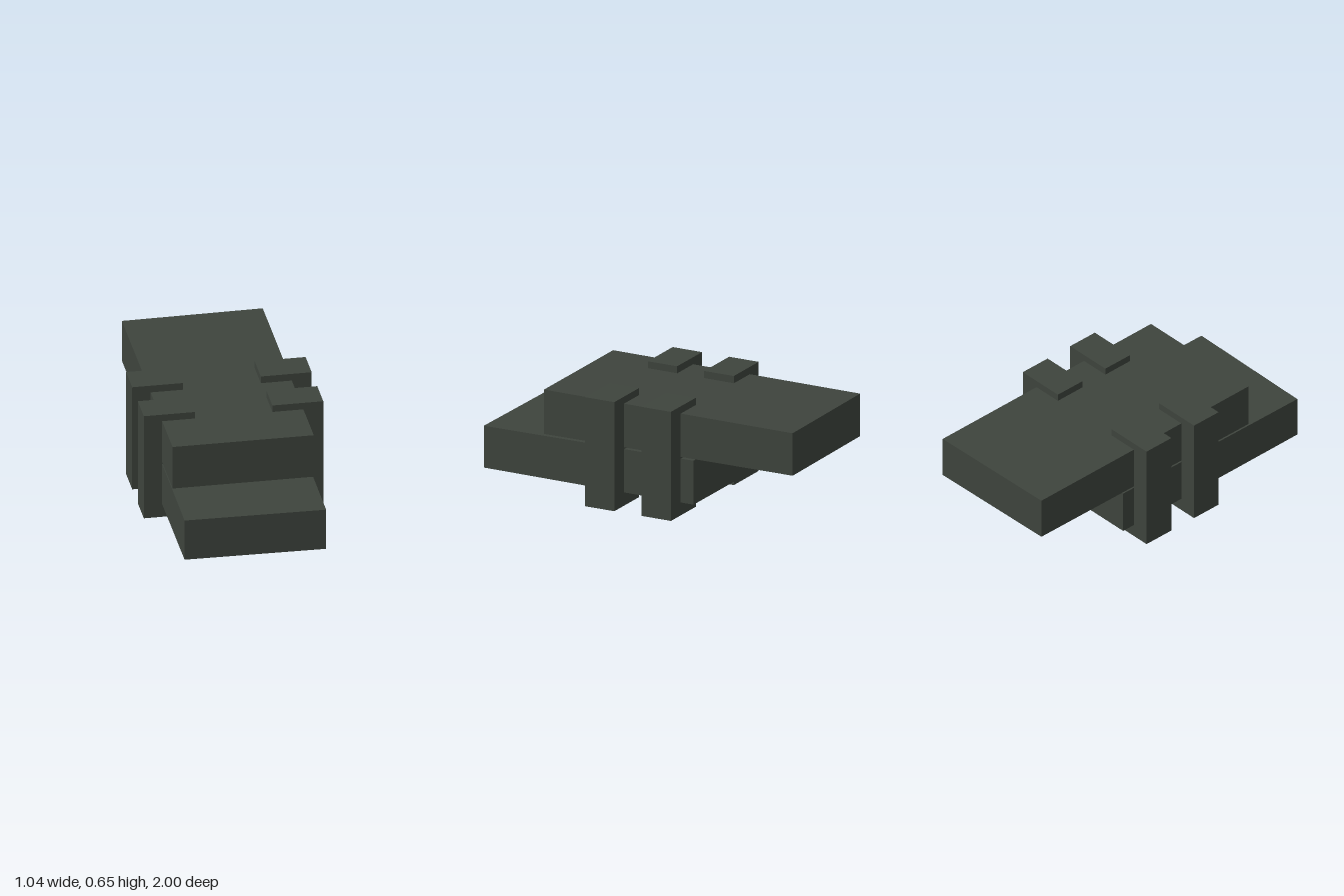
import * as THREE from 'three';

const darkGreen = new THREE.MeshStandardMaterial({ color: 0x3e443d });
darkGreen.name = 'darkGreenGrey';

// Box between two corners
function block(name, [x0, y0, z0], [x1, y1, z1]) {
  const geo = new THREE.BoxGeometry(x1 - x0, y1 - y0, z1 - z0);
  geo.translate((x0 + x1) / 2, (y0 + y1) / 2, (z0 + z1) / 2);
  const mesh = new THREE.Mesh(geo, darkGreen);
  mesh.name = name;
  return mesh;
}

// Slab whose thickness tapers slightly and whose ends are cut slightly askew:
// front and back are [bottom, top, z at the right (-x), z at the left (+x)]
function slab(name, front, back) {
  const mesh = block(name, [-0.413, 0, -1], [0.402, 1, 1]);
  const p = mesh.geometry.attributes.position;
  for (let i = 0; i < p.count; i++) {
    const end = p.getZ(i) > 0 ? front : back;
    p.setY(i, p.getY(i) > 0.5 ? end[1] : end[0]);
    p.setZ(i, p.getX(i) > 0 ? end[3] : end[2]);
  }
  mesh.geometry = mesh.geometry.toNonIndexed();
  mesh.geometry.computeVertexNormals();
  return mesh;
}

export function createModel() {
  const model = new THREE.Group();
  model.name = 'clampedSlabs';

  // Two overlapping slabs
  model.add(
    slab('upperSlab', [0.347, 0.612, 0.61, 0.61], [0.352, 0.606, -0.99, -1]),
    slab('lowerSlab', [0.084, 0.334, 0.988, 1], [0.077, 0.34, -0.358, -0.358]),
  );

  // Four upright clamps, two on each side
  for (const [side, x0, x1] of [['right', -0.519, -0.225], ['left', 0.223, 0.517]]) {
    for (const [end, z0, z1] of [['Front', 0.092, 0.282], ['Back', -0.275, -0.083]]) {
      model.add(block(side + end + 'Clamp', [x0, 0, z0], [x1, 0.652, z1]));
    }
  }
  return model;
}
